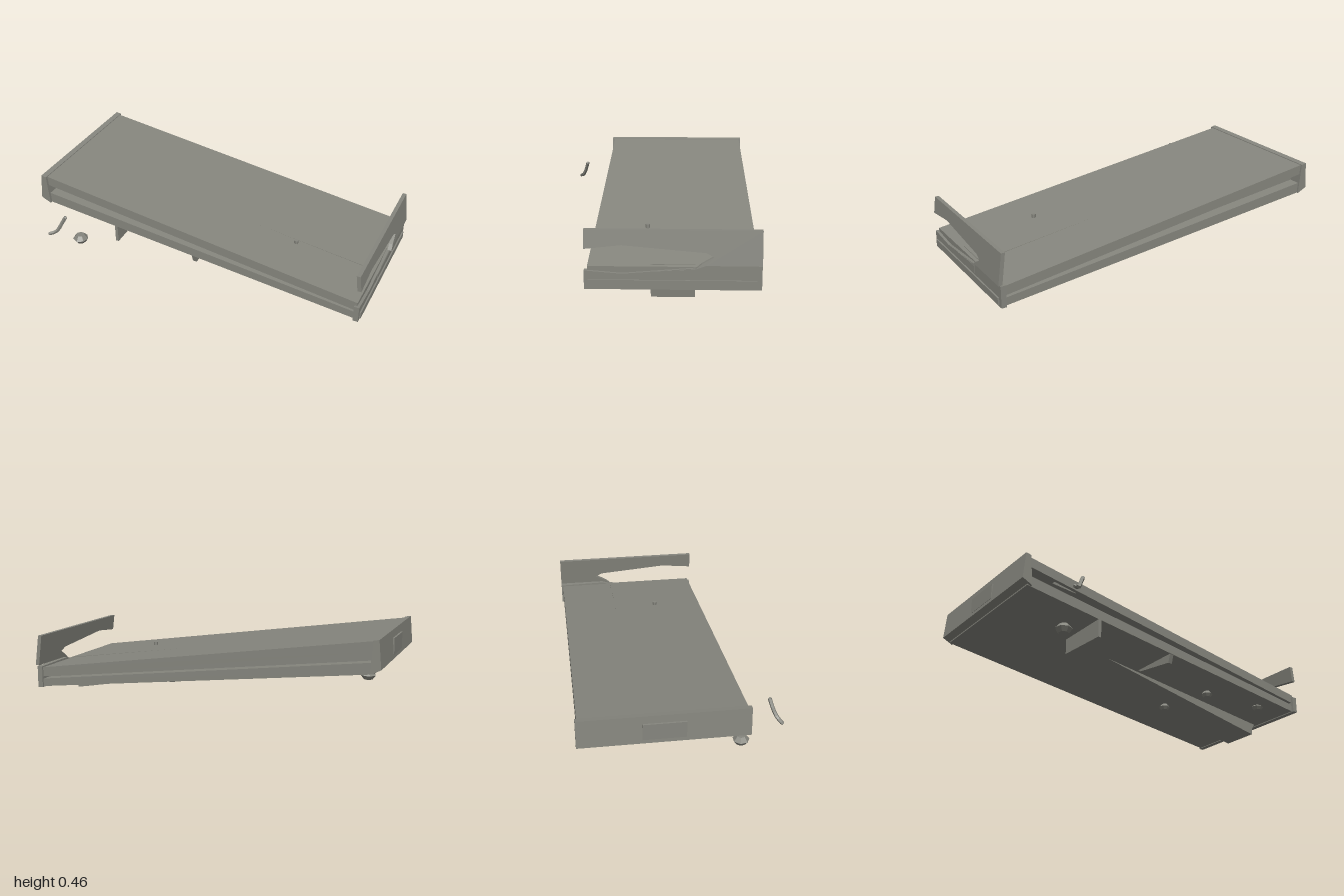
import * as THREE from 'three';

export function createModel() {
  const group = new THREE.Group();
  const grey = new THREE.MeshStandardMaterial({ color: 0x86867e, flatShading: true });
  grey.name = 'warm grey';

  const add = (name, geometry) => {
    const mesh = new THREE.Mesh(geometry, grey);
    mesh.name = name;
    group.add(mesh);
    return mesh;
  };
  const extrude = (pts, depth) => new THREE.ExtrudeGeometry(
    new THREE.Shape(pts.map(p => new THREE.Vector2(p[0], p[1]))), { depth, bevelEnabled: false });
  // outline in x,y running from z0 to z1
  const alongZ = (name, pts, z0, z1) => add(name, extrude(pts, z1 - z0).translate(0, 0, z0));
  // outline in z,y running from x0 to x1
  const alongX = (name, pts, x0, x1) => add(name,
    extrude(pts.map(([z, y]) => [-z, y]), x1 - x0).rotateY(Math.PI / 2).translate(x0, 0, 0));

  // sloping boards with a recessed core between them
  alongZ('topBoard', [[-0.97, 0.455], [0.97, 0.178], [0.97, 0.125], [-0.97, 0.4]], -0.535, 0.31);
  alongZ('bottomBoard', [[-0.96, 0.345], [0.97, 0.112], [0.97, 0.068], [-0.96, 0.285]], -0.535, 0.31);
  alongZ('core', [[-0.96, 0.405], [0.97, 0.13], [0.97, 0.1], [-0.96, 0.335]], -0.47, 0.24);
  alongZ('innerBump', [[-0.8, 0.36], [-0.75, 0.405], [-0.7, 0.405], [-0.65, 0.35]], 0.2, 0.29);

  // raised strip on top and deep wedge underneath
  alongZ('topStrip', [[0.22, 0.285], [0.95, 0.184], [0.95, 0.17], [0.22, 0.27]], -0.22, 0);
  alongZ('underWedge', [[-0.23, 0.203], [0.91, 0.08], [0.94, 0.075], [0.92, 0.045], [0.915, 0.002], [0.85, 0.012]], -0.22, 0);

  // end plate on the high side
  alongZ('highEndPlate', [[-0.985, 0.462], [-0.955, 0.457], [-0.94, 0.283], [-0.998, 0.31]], -0.545, 0.325);
  alongX('highEndPanel', [[0, 0.33], [-0.22, 0.33], [-0.22, 0.42], [0, 0.42]], -0.998, -0.985);

  // end plate on the low side, with a blade rising from its back half
  alongX('lowEndPlate', [[0.325, 0.065], [-0.545, 0.065], [-0.545, 0.187], [-0.27, 0.192],
    [-0.22, 0.175], [0.14, 0.145], [0.325, 0.16]], 0.955, 0.985);
  alongX('endRail', [[0.305, 0.075], [-0.52, 0.075], [-0.52, 0.115], [0.305, 0.115]], 0.985, 0.993);
  alongX('lowEndPanel', [[0, 0.125], [-0.22, 0.125], [-0.22, 0.17], [0, 0.158]], 0.98, 0.988);
  const blade = alongX('upperBlade', [[0.325, 0.365], [-0.545, 0.365], [-0.545, 0.192], [-0.27, 0.192],
    [-0.22, 0.175], [-0.25, 0.2], [-0.31, 0.235], [-0.27, 0.255], [0.14, 0.29], [0.325, 0.27]], 0, 0.022);
  // the blade leans slightly outwards at its foot
  const p = blade.geometry.attributes.position;
  for (let i = 0; i < p.count; i++) p.setX(i, p.getX(i) + 0.975 - (p.getY(i) - 0.19) * 0.13);
  blade.geometry.computeVertexNormals();

  // thin fins below
  alongX('underFin', [[0.31, 0.24], [0, 0.24], [0, 0.145], [0.31, 0.13]], -0.512, -0.494);
  alongX('underFin', [[0.31, 0.19], [0, 0.19], [0.04, 0.165], [0.29, 0.128]], -0.015, 0.01);

  // faceted feet, one set apart
  const foot = (x, y, z, r, h) => {
    const m = add('foot', new THREE.CylinderGeometry(r * 0.55, r * 0.6, h, 7, 2));
    const a = m.geometry.attributes.position;
    for (let i = 0; i < a.count; i++)
      if (Math.abs(a.getY(i)) < 0.001) { a.setX(i, a.getX(i) * 1.75); a.setZ(i, a.getZ(i) * 1.75); }
    m.geometry.computeVertexNormals();
    m.position.set(x, y, z);
  };
  foot(-0.745, 0.092, 0.333, 0.046, 0.05);
  foot(0.77, 0.085, 0.2, 0.035, 0.035);
  foot(0.39, 0.085, 0.16, 0.033, 0.035);
  foot(0.32, 0.085, -0.15, 0.033, 0.035);

  // small post on top
  const post = add('topPost', new THREE.CylinderGeometry(0.012, 0.012, 0.03, 6));
  post.position.set(0.51, 0.248, 0.03);

  // loose bent handle
  const path = new THREE.CatmullRomCurve3([[-0.815, 0.23, 0.53], [-0.78, 0.245, 0.51],
    [-0.755, 0.29, 0.49], [-0.735, 0.33, 0.478]].map(q => new THREE.Vector3(...q)));
  add('looseHandle', new THREE.TubeGeometry(path, 6, 0.011, 5));
  for (const [t, s] of [[0, 1], [1, 1]]) {
    const cap = add('handleEnd', new THREE.IcosahedronGeometry(0.011 * s, 0));
    cap.position.copy(path.getPoint(t));
  }
  return group;
}
